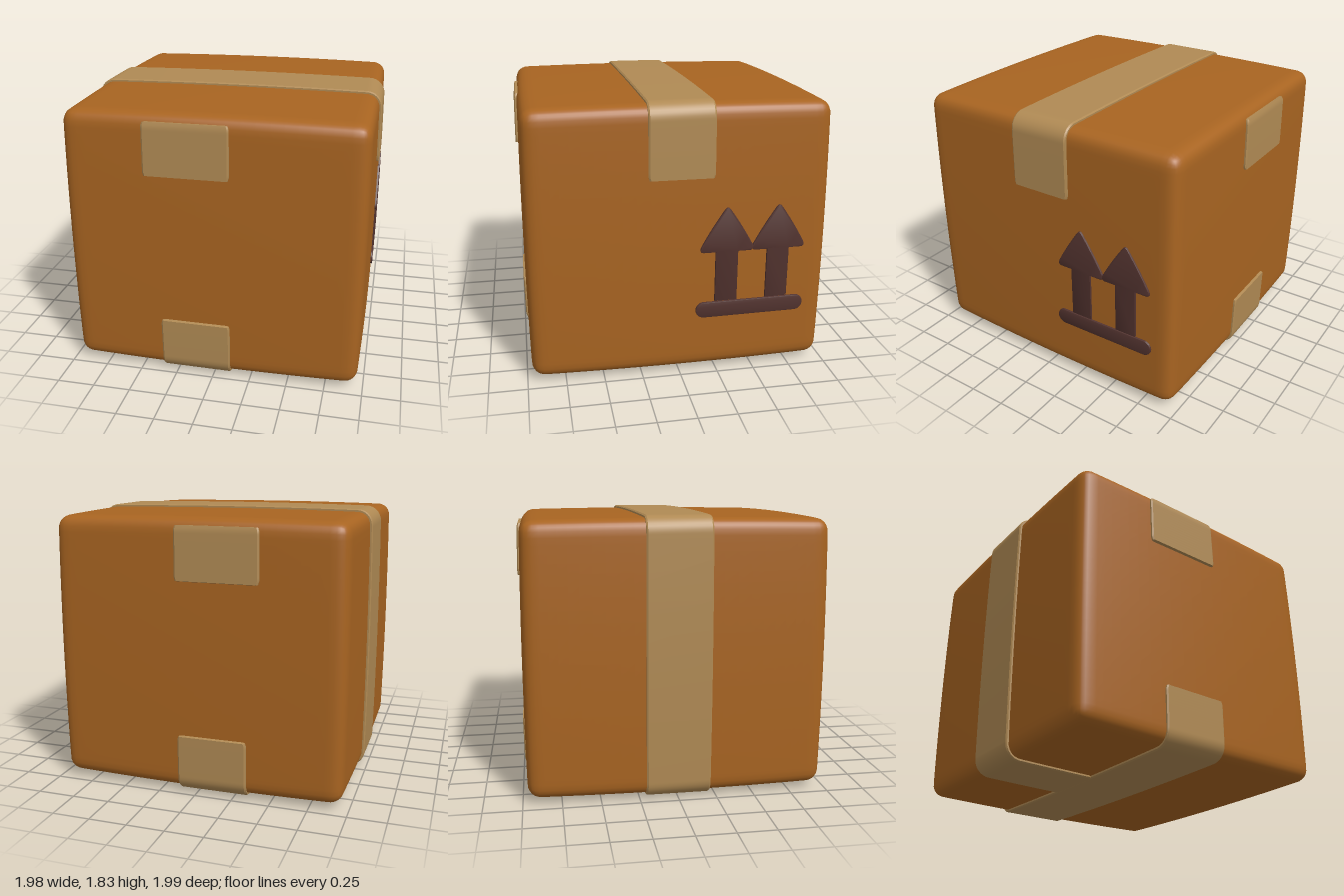
import * as THREE from 'three';
import { mergeVertices, toCreasedNormals } from 'three/addons/utils/BufferGeometryUtils.js';

// Half sizes of the carton, its centre height, edge radius and tape thickness
const HX = 0.975, HY = 0.899, HZ = 0.982, CY = 0.917, R = 0.085, TAPE = 0.018;

const cardboard = new THREE.MeshStandardMaterial({ color: 0xa86421 });
cardboard.name = 'cardboard';
const tapeTan = new THREE.MeshStandardMaterial({ color: 0xb08a54 });
tapeTan.name = 'tape tan';
const printBrown = new THREE.MeshStandardMaterial({ color: 0x52332f });
printBrown.name = 'print brown';

// Swell the sides slightly, so the carton looks well filled
function bulge(geometry) {
  const p = geometry.attributes.position;
  for (let i = 0; i < p.count; i++) {
    const x = p.getX(i), y = p.getY(i), z = p.getZ(i);
    const a = (x / HX) ** 2, b = (y / HY) ** 2, c = (z / HZ) ** 2;
    p.setXYZ(i, x * (1 - 0.009 * (b + c)), y * (1 - 0.012 * (a + c)), z * (1 - 0.009 * (a + b)));
  }
  return geometry;
}

// Rounded box with a grid that gets finer towards the edges
function cartonGeometry() {
  let g = new THREE.BoxGeometry(2, 2, 2, 32, 32, 32);
  const p = g.attributes.position, v = new THREE.Vector3(), core = new THREE.Vector3();
  const inner = new THREE.Vector3(HX - R, HY - R, HZ - R);
  for (let i = 0; i < p.count; i++) {
    v.fromBufferAttribute(p, i);
    v.set(HX * Math.sin(v.x * Math.PI / 2), HY * Math.sin(v.y * Math.PI / 2), HZ * Math.sin(v.z * Math.PI / 2));
    core.copy(v).clamp(inner.clone().negate(), inner);
    v.sub(core).setLength(R).add(core);
    p.setXYZ(i, v.x, v.y, v.z);
  }
  g.deleteAttribute('uv');
  g.deleteAttribute('normal');
  g = mergeVertices(bulge(g), 1e-5);
  g.computeVertexNormals();
  return g;
}

// Counterclockwise path through the corners with rounded bends: [u, v, normalU, normalV]
function roundedPath(corners) {
  const out = [];
  const pts = corners.map(([u, v]) => new THREE.Vector2(u, v));
  for (let i = 0; i < pts.length - 1; i++) {
    const d = pts[i + 1].clone().sub(pts[i]).normalize();
    const a = pts[i].clone(), b = pts[i + 1].clone();
    if (i > 0) a.addScaledVector(d, R);
    if (i < pts.length - 2) b.addScaledVector(d, -R);
    const n = new THREE.Vector2(d.y, -d.x), len = a.distanceTo(b);
    const steps = [0, 0.012, 0.035];
    for (let k = 1; k < 12; k++) steps.push(0.035 + (len - 0.07) * k / 12);
    steps.push(len - 0.035, len - 0.012, len);
    for (const s of steps) out.push([a.x + d.x * s, a.y + d.y * s, n.x, n.y]);
    if (i < pts.length - 2) {
      const cx = b.x - n.x * R, cy = b.y - n.y * R, start = Math.atan2(n.y, n.x);
      for (let k = 1; k < 8; k++) {
        const t = start + k / 8 * Math.PI / 2, c = Math.cos(t), s = Math.sin(t);
        out.push([cx + c * R, cy + s * R, c, s]);
      }
    }
  }
  return out;
}

// Strip of tape swept along a path; both ends taper and sink into the carton
function tapeGeometry(path, width, place) {
  const pos = [], index = [], last = path.length - 1, M = 6;
  path.forEach(([u, v, nu, nv], i) => {
    const e = Math.min(i, last - i);
    const w = width / 2 - [0.022, 0.007][e] || width / 2;
    const t = e === 0 ? -0.02 : TAPE;
    const section = [[-w, -0.03], [-w, t - 0.007], [-w + 0.01, t], [w - 0.01, t], [w, t - 0.007], [w, -0.03]];
    for (const [s, h] of section) pos.push(...place(u + nu * h, v + nv * h, s));
  });
  for (let i = 0; i < last; i++) {
    for (let j = 0; j < M - 1; j++) {
      const a = i * M + j, b = a + 1, c = a + M, d = c + 1;
      index.push(a, c, b, b, c, d);
    }
  }
  const g = new THREE.BufferGeometry();
  g.setAttribute('position', new THREE.Float32BufferAttribute(pos, 3));
  g.setIndex(index);
  return toCreasedNormals(bulge(g), 0.6);
}

// Flat printed shape on the +x side, outlined as [distance to the back, height]
function printGeometry(shape) {
  const g = new THREE.ExtrudeGeometry(shape, {
    depth: 0.03, bevelEnabled: true, bevelThickness: 0.006, bevelSize: 0.006, bevelOffset: -0.006, bevelSegments: 2,
  });
  g.rotateY(Math.PI / 2).translate(HX - 0.022, -CY, 0);
  return toCreasedNormals(bulge(g), 0.6);
}

function arrowShape(c) {
  const s = new THREE.Shape();
  s.moveTo(c - 0.075, 0.505);
  s.lineTo(c + 0.075, 0.505);
  s.lineTo(c + 0.075, 0.85);
  s.lineTo(c + 0.155, 0.85);
  s.quadraticCurveTo(c + 0.19, 0.855, c + 0.165, 0.9);
  s.quadraticCurveTo(c + 0.1, 1.02, c + 0.02, 1.135);
  s.quadraticCurveTo(c, 1.165, c - 0.02, 1.135);
  s.quadraticCurveTo(c - 0.1, 1.02, c - 0.165, 0.9);
  s.quadraticCurveTo(c - 0.19, 0.855, c - 0.155, 0.85);
  s.lineTo(c - 0.075, 0.85);
  return s;
}

function barShape(u0, u1, y0, y1) {
  const r = (y1 - y0) / 2, y = (y0 + y1) / 2, s = new THREE.Shape();
  s.absarc(u1 - r, y, r, -Math.PI / 2, Math.PI / 2);
  s.absarc(u0 + r, y, r, Math.PI / 2, Math.PI * 1.5);
  return s;
}

export function createModel() {
  const model = new THREE.Group();
  model.name = 'cardboardBox';
  const add = (name, geometry, material) => {
    const mesh = new THREE.Mesh(geometry, material);
    mesh.name = name;
    mesh.position.y = CY;
    model.add(mesh);
  };

  add('carton', cartonGeometry(), cardboard);

  // Tape strips: one across the box, one under it from front to back
  const across = (u, v, s) => [u, v, s];
  const along = (x) => (u, v, s) => [x - s, v, u];
  add('mainTape', tapeGeometry(roundedPath(
    [[HX, 1.34 - CY], [HX, HY], [-HX, HY], [-HX, -HY], [-0.33, -HY]]), 0.425, across), tapeTan);
  add('bottomTape', tapeGeometry(roundedPath(
    [[-HZ, 0.4 - CY], [-HZ, -HY], [HZ, -HY], [HZ, 0.4 - CY]]), 0.47, along(-0.115)), tapeTan);

  // Short patches near the top, ending halfway round the edge
  const front = roundedPath([[HZ, 1.41 - CY], [HZ, HY], [0.6, HY]]).slice(0, 20);
  const back = roundedPath([[-0.6, HY], [-HZ, HY], [-HZ, 1.41 - CY]]).slice(-20);
  add('frontPatch', tapeGeometry(front, 0.555, along(-0.155)), tapeTan);
  add('backPatch', tapeGeometry(back, 0.555, along(-0.155)), tapeTan);

  // Printed handling mark: two arrows above a bar
  [0.3, 0.643].forEach((c, i) => add('arrow' + (i + 1), printGeometry(arrowShape(c)), printBrown));
  add('arrowBar', printGeometry(barShape(0.1, 0.835, 0.39, 0.5)), printBrown);

  return model;
}
